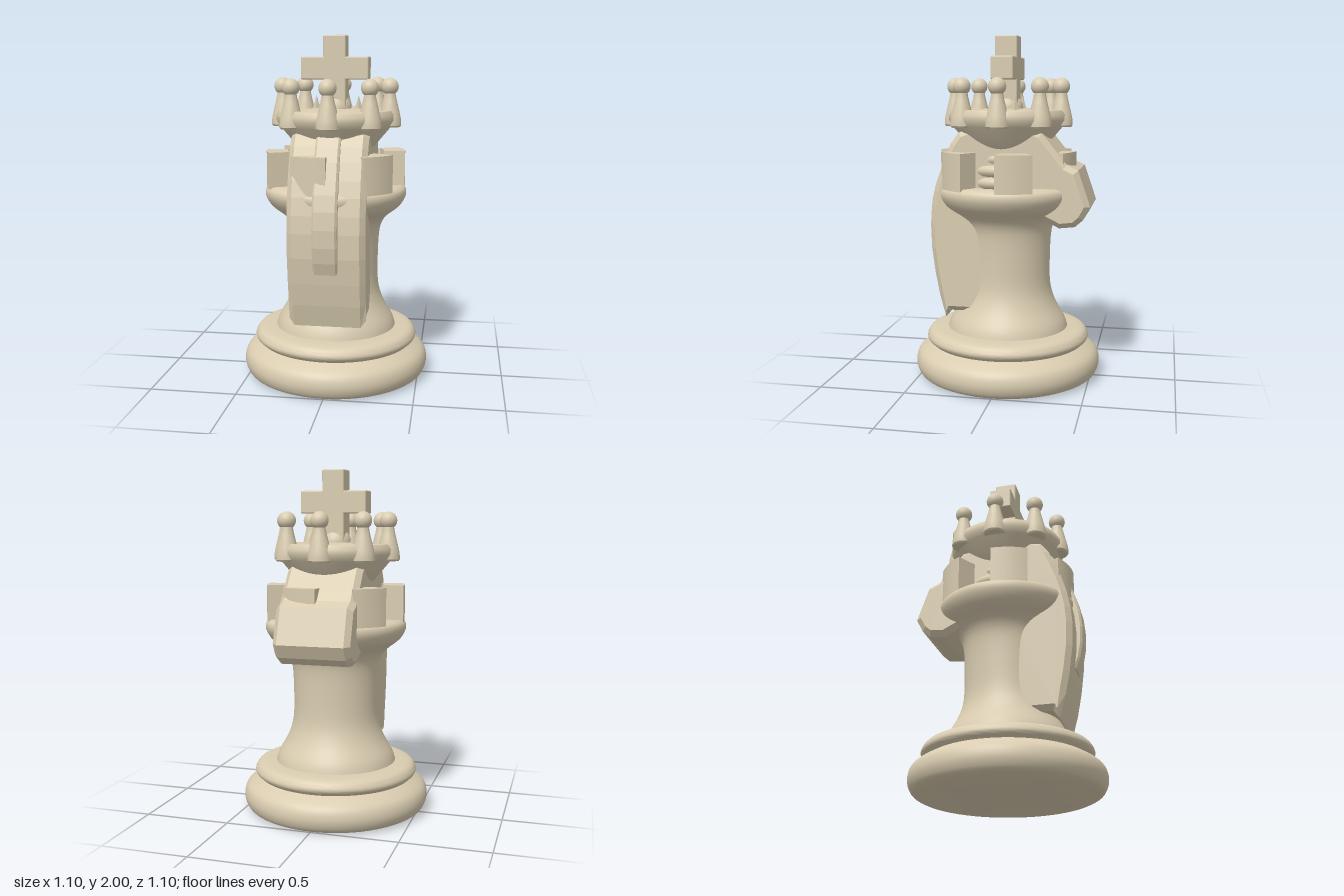
import * as THREE from 'three';
import { toCreasedNormals, mergeGeometries } from 'three/addons/utils/BufferGeometryUtils.js';
import { RoundedBoxGeometry } from 'three/addons/geometries/RoundedBoxGeometry.js';

const material = new THREE.MeshStandardMaterial({ color: 0xd9ccb0 });
const vectors = (pts) => pts.map(([x, y]) => new THREE.Vector2(x, y));
// smooth curve through a few profile points
const curve = (pts, n = 20) => new THREE.SplineCurve(vectors(pts)).getPoints(n);

function add(parent, name, geometry) {
  const mesh = new THREE.Mesh(geometry, material);
  mesh.name = name;
  parent.add(mesh);
  return mesh;
}

const turned = (points, segments = 64) =>
  toCreasedNormals(new THREE.LatheGeometry(points, segments), 0.6);

// side outline in (z, y), extruded across x and centred
function sideExtrude(pts, width, bevel) {
  const geo = new THREE.ExtrudeGeometry(new THREE.Shape(vectors(pts)), {
    depth: width - 2 * bevel, bevelEnabled: true, bevelSegments: 1,
    bevelThickness: bevel, bevelSize: bevel, bevelOffset: -bevel,
  });
  geo.translate(0, 0, bevel - width / 2);
  geo.rotateY(-Math.PI / 2);
  return geo;
}

export function createModel() {
  const model = new THREE.Group();
  model.name = 'chessPiece';

  // stepped round foot
  add(model, 'base', turned([
    ...vectors([[0, 0]]),
    ...curve([[0.49, 0], [0.53, 0.025], [0.55, 0.085], [0.53, 0.15], [0.455, 0.2]]),
    ...curve([[0.46, 0.205], [0.48, 0.225], [0.48, 0.25], [0.455, 0.28], [0.4, 0.29]], 14),
    ...vectors([[0, 0.29]]),
  ]));

  // tower column with flared collar
  add(model, 'column', turned([
    ...curve([[0.358, 0.285], [0.34, 0.34], [0.285, 0.44], [0.255, 0.54], [0.25, 0.68],
      [0.258, 0.86], [0.285, 0.94], [0.33, 0.985]], 30),
    ...curve([[0.345, 0.995], [0.385, 1.03], [0.412, 1.08], [0.41, 1.12], [0.385, 1.14]], 14),
    ...vectors([[0.28, 1.14], [0.28, 1.1], [0, 1.1]]),
  ]));

  // six battlements, each a 30 degree arc
  const arc = new THREE.Shape();
  arc.absarc(0, 0, 0.405, 0, Math.PI / 6, false);
  arc.absarc(0, 0, 0.28, Math.PI / 6, 0, true);
  const merlon = toCreasedNormals(
    new THREE.ExtrudeGeometry(arc, { depth: 0.25, bevelEnabled: false, curveSegments: 8 })
      .rotateX(-Math.PI / 2).translate(0, 1.09, 0), 0.5);
  for (let i = 0; i < 6; i++) add(model, 'battlement', merlon).rotation.y = i * Math.PI / 3;

  // stacked neck rings inside the battlements
  add(model, 'neckCore', new THREE.CylinderGeometry(0.21, 0.22, 0.34, 48).translate(0, 1.24, 0));
  for (const [y, r] of [[1.165, 0.225], [1.235, 0.225], [1.3, 0.2]]) {
    add(model, 'neckRing', new THREE.TorusGeometry(r, 0.034, 12, 56).rotateX(Math.PI / 2).translate(0, y, 0));
  }

  // horse neck on the front, with the head facing the back
  add(model, 'horse', sideExtrude([
    [0.335, 0.37], [0.37, 0.5], [0.395, 0.63], [0.415, 0.78], [0.42, 0.92], [0.412, 1.02],
    [0.393, 1.12], [0.367, 1.21], [0.33, 1.31], [0.295, 1.39], [0.25, 1.45], [0.1, 1.51],
    [-0.1, 1.51], [-0.23, 1.45], [-0.31, 1.35], [-0.37, 1.275], [-0.435, 1.245], [-0.505, 1.04],
    [-0.465, 0.965], [-0.42, 0.925], [-0.33, 0.915], [-0.22, 0.97], [-0.1, 1.04], [0.03, 1.02],
    [0.07, 0.8], [0.07, 0.41], [0.3, 0.41],
  ].reverse(), 0.44, 0.03));

  // raised mane strip
  add(model, 'mane', sideExtrude([
    [0.36, 0.69], [0.41, 0.69], [0.435, 0.76], [0.452, 0.85], [0.456, 0.95], [0.446, 1.05],
    [0.424, 1.14], [0.395, 1.22], [0.36, 1.31], [0.32, 1.39], [0.275, 1.455], [0.15, 1.48],
    [0.25, 1.3], [0.34, 1],
  ], 0.14, 0.012));

  // ears poking through the crown
  for (const side of [-1, 1]) {
    const ear = add(model, 'ear', new THREE.ConeGeometry(0.05, 0.16, 4).toNonIndexed());
    ear.geometry.computeVertexNormals();
    ear.position.set(side * 0.125, 1.575, -0.065);
  }

  // flared crown
  add(model, 'crown', turned([
    ...vectors([[0, 1.28], [0.15, 1.28], [0.22, 1.36], [0.325, 1.485], [0.345, 1.52],
      [0.345, 1.55], [0.33, 1.575], [0.315, 1.58], [0.25, 1.565]]),
    ...curve([[0.24, 1.565], [0.15, 1.58], [0, 1.59]], 8),
  ]));
  add(model, 'crownBall', new THREE.SphereGeometry(0.09, 32, 20).translate(0, 1.58, 0));

  // eight pawn-shaped crown points
  const pawn = turned([
    ...vectors([[0, 1.48], [0.06, 1.48]]),
    ...curve([[0.067, 1.49], [0.064, 1.53], [0.048, 1.6], [0.036, 1.65], [0.03, 1.69]], 12),
  ], 28);
  const ball = new THREE.SphereGeometry(0.05, 24, 16).translate(0, 1.71, 0);
  for (let i = 0; i < 8; i++) {
    const point = new THREE.Group();
    point.name = 'crownPoint';
    const a = i * Math.PI / 4;
    point.position.set(Math.sin(a) * 0.313, 0, Math.cos(a) * 0.313);
    add(point, 'pawnBody', pawn);
    add(point, 'pawnHead', ball);
    model.add(point);
  }

  // cross finial
  add(model, 'cross', mergeGeometries([
    new RoundedBoxGeometry(0.13, 0.42, 0.13, 2, 0.008).translate(0, 1.79, 0),
    new RoundedBoxGeometry(0.39, 0.13, 0.13, 2, 0.008).translate(0, 1.815, 0),
  ]));

  return model;
}
